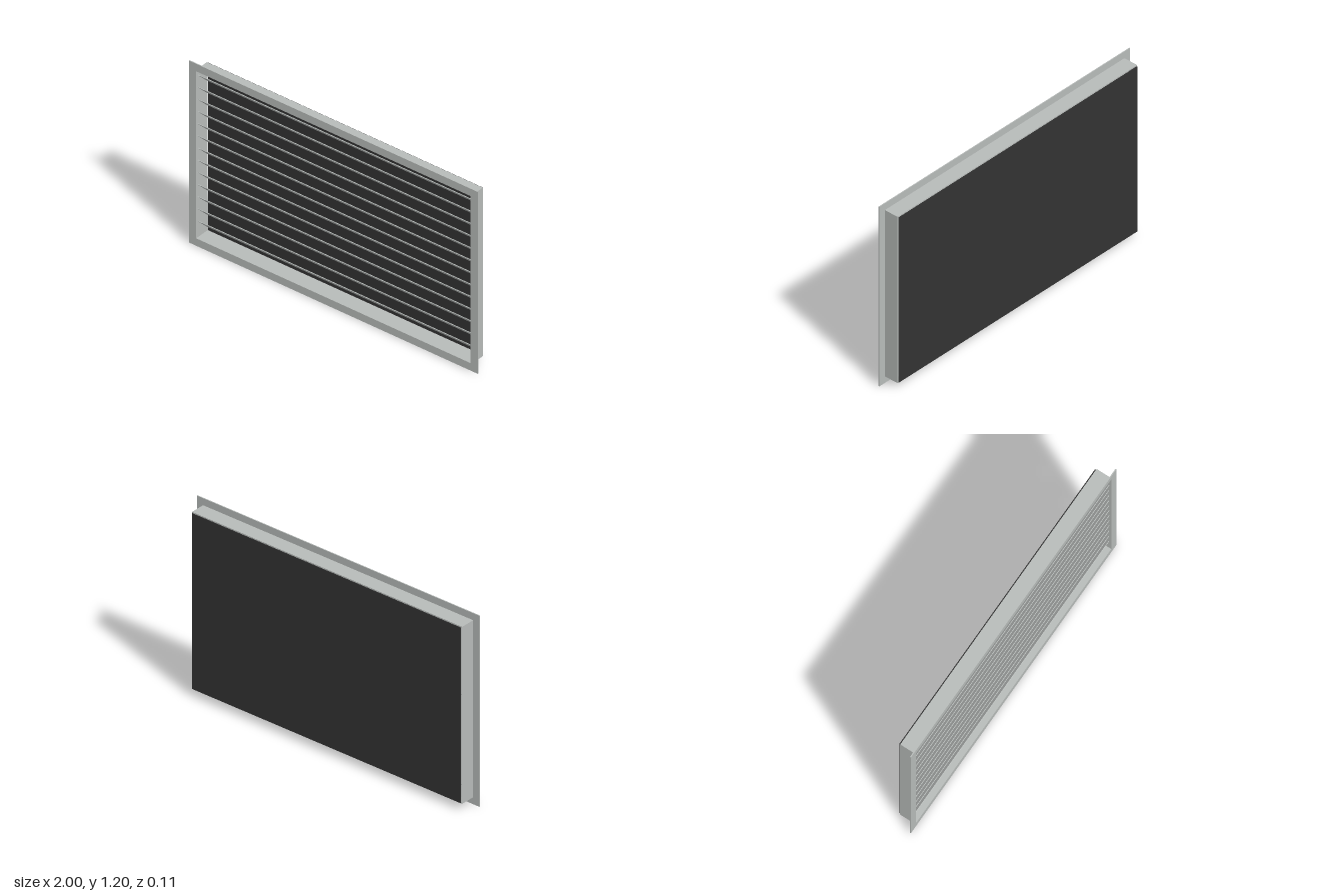
import * as THREE from 'three';

const metal = new THREE.MeshStandardMaterial({ color: 0xb8bcba });
metal.name = 'light grey metal';
const dark = new THREE.MeshStandardMaterial({ color: 0x333333 });
dark.name = 'dark backing';

const MID = 0.6; // height of the grille centre

// Rectangular ring between z0 and z1, given outer and inner half sizes
function ring(name, w, h, iw, ih, z0, z1) {
  const shape = new THREE.Shape([[-w, -h], [w, -h], [w, h], [-w, h]].map(p => new THREE.Vector2(...p)));
  shape.holes.push(new THREE.Path([[-iw, -ih], [-iw, ih], [iw, ih], [iw, -ih]].map(p => new THREE.Vector2(...p))));
  const geometry = new THREE.ExtrudeGeometry(shape, { depth: z1 - z0, bevelEnabled: false });
  const mesh = new THREE.Mesh(geometry, metal);
  mesh.name = name;
  mesh.position.set(0, MID, z0);
  return mesh;
}

export function createModel() {
  const model = new THREE.Group();
  model.name = 'ventGrille';

  // Front flange and the sleeve that goes into the wall
  model.add(ring('flange', 1, 0.6, 0.951, 0.551, 0.047, 0.053));
  model.add(ring('sleeve', 0.956, 0.556, 0.951, 0.551, -0.046, 0.047));

  // Backing sheet
  const back = new THREE.Mesh(new THREE.BoxGeometry(1.902, 1.102, 0.005), dark);
  back.name = 'backing';
  back.position.set(0, MID, -0.0505);
  model.add(back);

  // Slats, tilted with the front edge high
  const slats = new THREE.Group();
  slats.name = 'slats';
  const slatGeometry = new THREE.BoxGeometry(1.902, 0.004, 0.11);
  const count = 13, pitch = 0.0803;
  for (let i = 0; i < count; i++) {
    const slat = new THREE.Mesh(slatGeometry, metal);
    slat.name = 'slat';
    slat.position.set(0, MID + (i - (count - 1) / 2) * pitch, 0);
    slat.rotation.x = -Math.PI / 4;
    slats.add(slat);
  }
  model.add(slats);

  return model;
}
